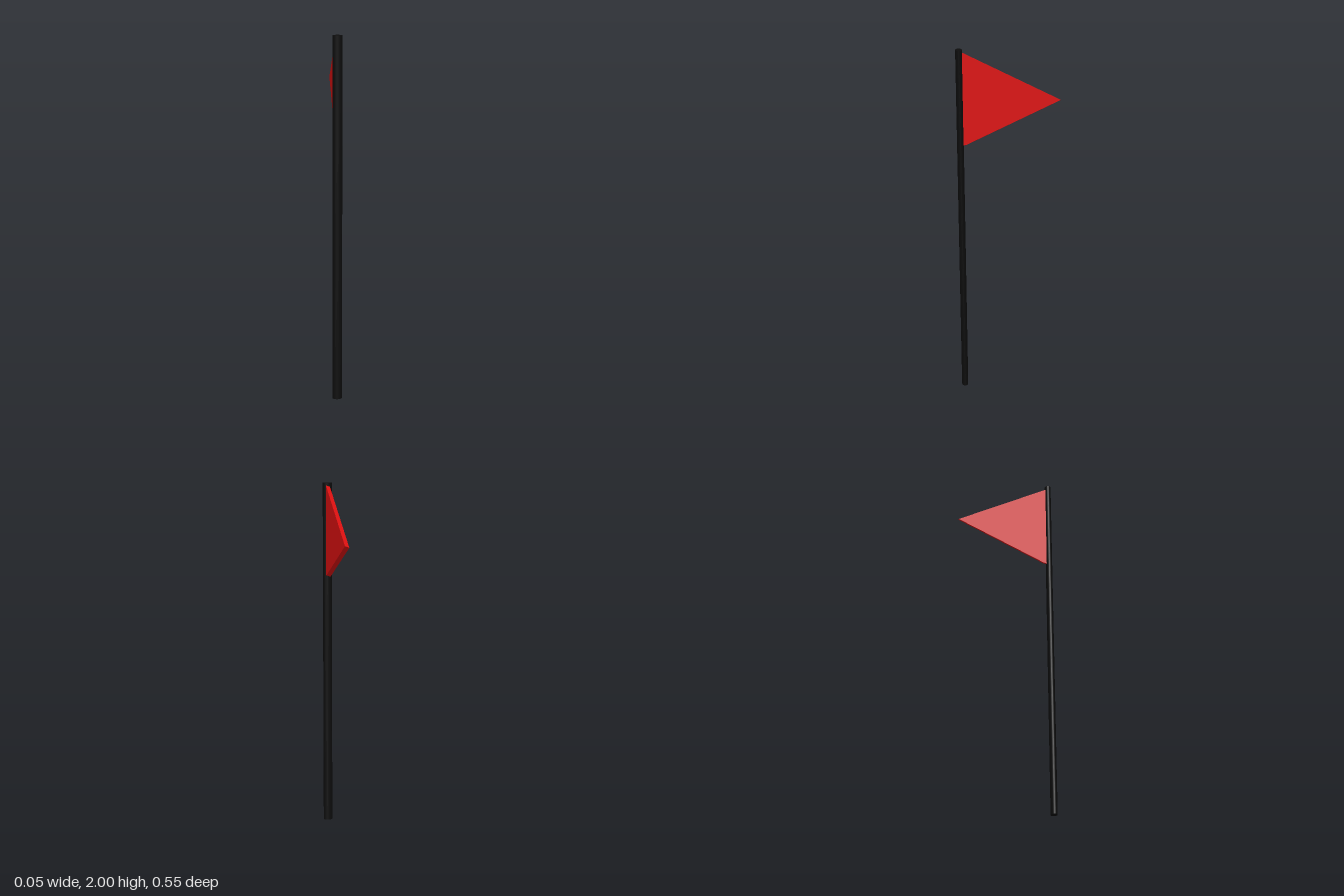
import * as THREE from 'three';

export function createModel() {
  const group = new THREE.Group();
  const poleZ = 0.258;

  // Tall pole with an oval cross-section
  const pole = new THREE.Mesh(
    new THREE.CylinderGeometry(1, 1, 2, 32),
    new THREE.MeshStandardMaterial({ color: 0x0c0c0c })
  );
  pole.name = 'pole';
  pole.scale.set(0.026, 1, 0.018);
  pole.position.set(0, 1, poleZ);
  group.add(pole);

  // Triangular pennant, its hoist edge sunk into the pole
  const outline = new THREE.Shape([
    new THREE.Vector2(-poleZ, 1.482),
    new THREE.Vector2(-0.225, 1.489),
    new THREE.Vector2(0.276, 1.722),
    new THREE.Vector2(-poleZ, 1.996),
  ]);
  const thickness = 0.023;
  const flagGeometry = new THREE.ExtrudeGeometry(outline, { depth: thickness, bevelEnabled: false });
  flagGeometry.translate(0, 0, -thickness / 2);
  flagGeometry.rotateY(Math.PI / 2);

  // Slight sideways slant: the right face sits a little lower
  const p = flagGeometry.attributes.position;
  for (let i = 0; i < p.count; i++) {
    if (p.getX(i) < 0) p.setY(i, p.getY(i) - 0.009);
  }
  flagGeometry.computeVertexNormals();

  const flag = new THREE.Mesh(flagGeometry, new THREE.MeshStandardMaterial({ color: 0xdb1010 }));
  flag.name = 'flag';
  group.add(flag);

  return group;
}
